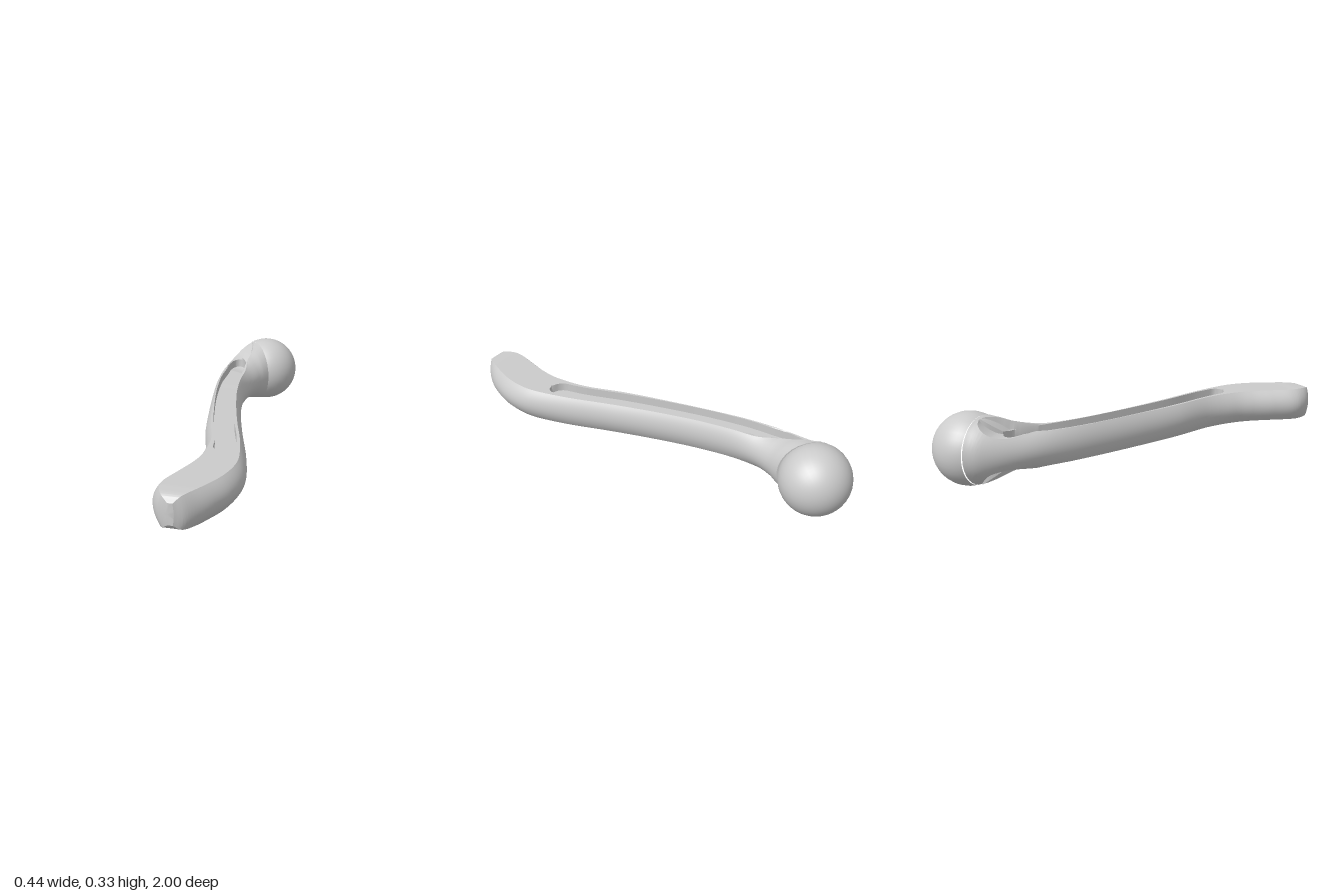
import * as THREE from 'three';
import { toCreasedNormals } from 'three/addons/utils/BufferGeometryUtils.js';

const MID_Y = 0.167;

// Plan outline from the tip to the ball: left x, z, right x, z
const OUTLINE = [
  [0.0, 0.998, 0.03, 0.998], [-0.05, 0.973, 0.075, 0.973], [-0.083, 0.92, 0.122, 0.92],
  [-0.09, 0.86, 0.16, 0.86], [-0.06, 0.76, 0.2, 0.77], [-0.025, 0.65, 0.218, 0.67],
  [-0.01, 0.55, 0.21, 0.57], [-0.02, 0.4, 0.165, 0.4], [-0.08, 0.2, 0.1, 0.2],
  [-0.125, 0, 0.04, 0], [-0.165, -0.2, -0.01, -0.2], [-0.2, -0.4, -0.038, -0.38],
  [-0.22, -0.58, -0.032, -0.5], [-0.217, -0.72, -0.01, -0.59], [-0.198, -0.84, 0.008, -0.635],
  [-0.168, -0.91, 0.022, -0.668],
];
// Matching half height, roundness of the sides, sideways shift of the groove
const BODY = [0.0785, 0.3, 0];
const SECTION = [
  [0.048, 0.3, 0], [0.073, 0.3, 0], ...Array(10).fill(BODY),
  [0.083, 0.4, 0.005], [0.112, 0.75, 0.03], [0.141, 0.95, 0.042], [0.156, 1, 0.045],
];

const spline = (points) =>
  new THREE.CatmullRomCurve3(points.map((p) => new THREE.Vector3(...p)), false, 'catmullrom');

// Half width at z of a slot with rounded ends
function slot(z, front, back, r) {
  const past = Math.max(z - (front - r), back + r - z, 0);
  return past >= r ? 0 : Math.sqrt(r * r - past * past);
}

// Upper half of one cross-section, left to right, as [u, y]
function upperHalf(w, H, k, shift, z) {
  const f = w * (1 - k);
  const p = 2 - Math.max(0, (k - 0.3) / 0.7);
  const topY = (u) => {
    const q = Math.min(1, Math.max(0, (Math.abs(u) - f) / (w - f)));
    return H * Math.sqrt(Math.max(0, 1 - Math.pow(q, 2 / p)));
  };
  // Scoop through the flared neck, with the pocket sunk into its floor
  const flare = THREE.MathUtils.smoothstep(z, -0.7, -0.55);
  const s = slot(z, 0.545, -0.775, 0.068 - 0.014 * flare);
  const g = Math.min(slot(z, 0.54, -0.69, 0.05), 0.95 * s);
  const b = Math.max(g, s * 0.8);
  const c = -shift;
  const ramp = 0.0785 + 0.072 * THREE.MathUtils.clamp((-0.68 - z) / 0.095, 0, 1);
  const uL = c - s, uR = c + s;
  const rimL = s > 0 ? Math.min(topY(uL), ramp) : topY(uL);
  const rimR = s > 0 ? Math.min(topY(uR), ramp) : topY(uR);
  const floor = Math.min(rimL, rimR) - (g > 0 ? 0.04 : 0);

  const side = (edge, dir) => {
    const end = dir < 0 ? Math.min(-f, edge) : Math.max(f, edge);
    const pts = [];
    for (let j = 0; j <= 7; j++) {
      const u = dir * w + (end - dir * w) * (1 - Math.cos((j / 7) * Math.PI / 2));
      pts.push([u, topY(u)]);
    }
    pts.push([edge, topY(edge)]);
    return pts;
  };
  return [
    ...side(uL, -1),
    [c - b, rimL], [c - g, rimL], [c - g, floor],
    [c + g, floor], [c + g, rimR], [c + b, rimR],
    ...side(uR, 1).reverse(),
  ];
}

function gripGeometry() {
  const left = spline(OUTLINE.map(([x, z]) => [x, 0, z]));
  const right = spline(OUTLINE.map(([, , x, z]) => [x, 0, z]));
  const shape = spline(SECTION);
  const steps = (OUTLINE.length - 1) * 20;
  const position = [], index = [];
  let n = 0;

  for (let i = 0; i <= steps; i++) {
    const t = i / steps;
    const L = left.getPoint(t), R = right.getPoint(t), S = shape.getPoint(t);
    const mid = L.clone().add(R).multiplyScalar(0.5);
    const dir = R.clone().sub(L);
    const w = dir.length() / 2;
    dir.normalize();
    const top = upperHalf(w, S.x, Math.min(S.y, 1), S.z, mid.z);
    // The underside mirrors the top
    const ring = [...top, ...top.slice(1, -1).reverse().map(([u, y]) => [u, -y])];
    n = ring.length;
    for (const [u, y] of ring) position.push(mid.x + dir.x * u, MID_Y + y, mid.z + dir.z * u);
  }
  for (let i = 0; i < steps; i++) {
    for (let j = 0; j < n; j++) {
      const a = i * n + j, b = i * n + ((j + 1) % n);
      index.push(a, b, a + n, b, b + n, a + n);
    }
  }
  // End caps
  const last = steps * n;
  for (let j = 1; j < n - 1; j++) {
    index.push(0, j + 1, j, last, last + j, last + j + 1);
  }
  const geometry = new THREE.BufferGeometry();
  geometry.setAttribute('position', new THREE.Float32BufferAttribute(position, 3));
  geometry.setIndex(index);
  return toCreasedNormals(geometry, 0.5);
}

export function createModel() {
  const group = new THREE.Group();
  group.name = 'handle';
  const material = new THREE.MeshStandardMaterial({ color: 0xcccccc });

  // S-curved grip with a groove above and below
  const grip = new THREE.Mesh(gripGeometry(), material);
  grip.name = 'grip';

  // Ball knob, open where it meets the tilted end of the neck
  const knob = new THREE.Mesh(
    new THREE.SphereGeometry(0.166, 32, 20, 0, Math.PI * 2, 0, 1.94), material);
  knob.name = 'ballKnob';
  knob.position.set(-0.03, MID_Y, -0.832);
  knob.quaternion.setFromUnitVectors(
    new THREE.Vector3(0, 1, 0), new THREE.Vector3(0.785, 0, -0.619).normalize());

  group.add(grip, knob);
  return group;
}
